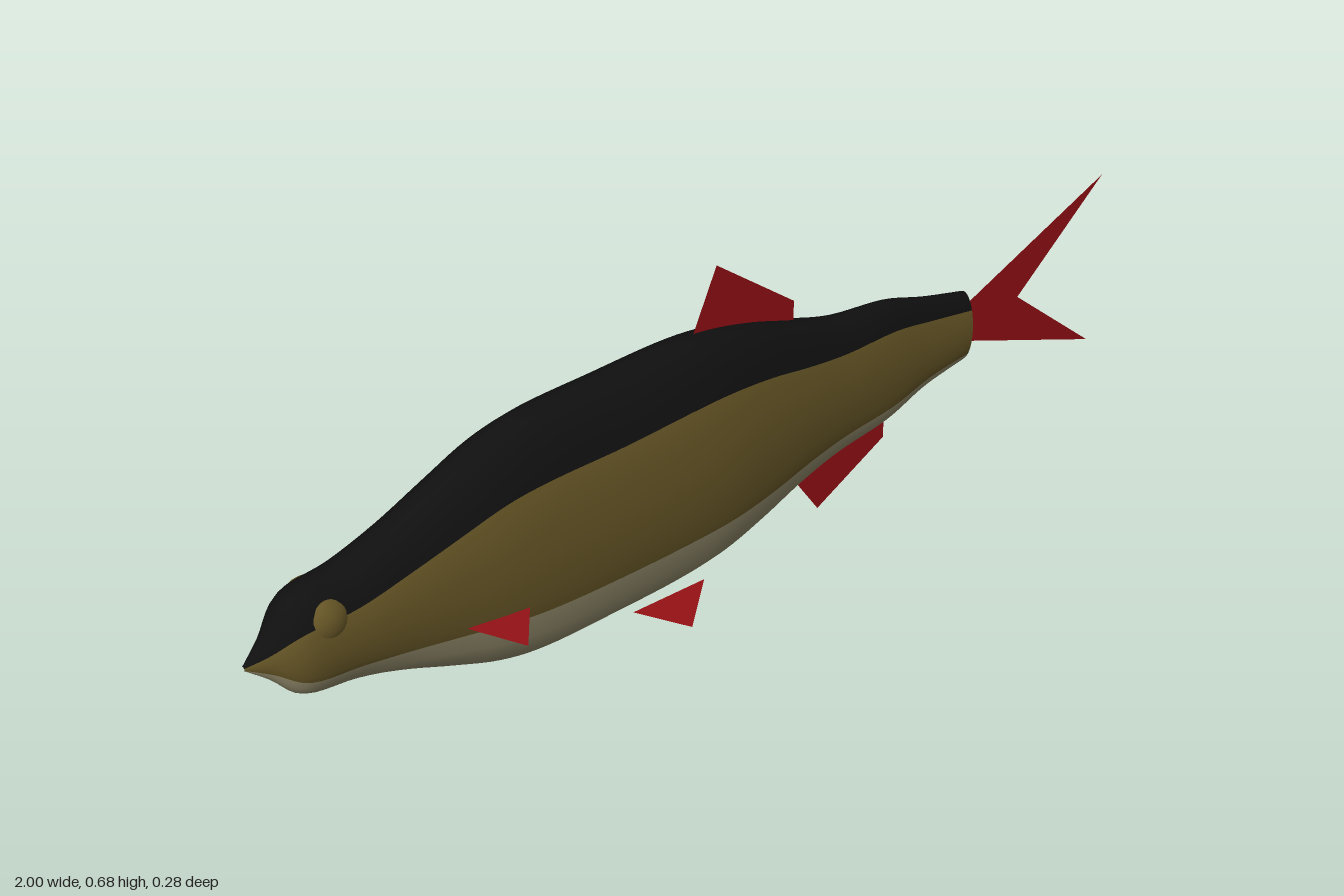
import * as THREE from 'three';

const mat = (name, color, side = THREE.FrontSide) => {
  const m = new THREE.MeshStandardMaterial({ color, side });
  m.name = name;
  return m;
};

// Stations along the body: [x, top, bottom, half width, upper colour line, lower colour line]
const STATIONS = [
  [-0.997, 0.300, 0.292, 0.004, 0.50, 0.40],
  [-0.955, 0.340, 0.252, 0.028, 0.50, 0.45],
  [-0.900, 0.408, 0.192, 0.060, 0.50, 0.50],
  [-0.800, 0.422, 0.172, 0.069, 0.52, 0.50],
  [-0.700, 0.455, 0.135, 0.075, 0.56, 0.48],
  [-0.600, 0.500, 0.088, 0.083, 0.58, 0.45],
  [-0.500, 0.542, 0.045, 0.092, 0.60, 0.44],
  [-0.400, 0.560, 0.024, 0.097, 0.60, 0.44],
  [-0.250, 0.560, 0.020, 0.100, 0.60, 0.45],
  [-0.100, 0.559, 0.020, 0.099, 0.61, 0.46],
  [0.000, 0.547, 0.030, 0.094, 0.62, 0.48],
  [0.100, 0.519, 0.060, 0.083, 0.62, 0.52],
  [0.200, 0.480, 0.098, 0.070, 0.61, 0.55],
  [0.300, 0.445, 0.124, 0.057, 0.62, 0.58],
  [0.430, 0.424, 0.140, 0.044, 0.63, 0.63],
  [0.530, 0.388, 0.176, 0.035, 0.62, 0.67],
  [0.637, 0.355, 0.196, 0.030, 0.60, 0.70],
];

// Elliptical loops, split by angle into side, back, side and belly bands
function bodyGeometry(rings = 80, seg = 8) {
  const shape = new THREE.CatmullRomCurve3(STATIONS.map(s => new THREE.Vector3(s[0], s[1], s[2])), false, 'catmullrom', 0.5);
  const paint = new THREE.CatmullRomCurve3(STATIONS.map(s => new THREE.Vector3(s[3], s[4], s[5])), false, 'catmullrom', 0.5);
  const pos = [], index = [], geo = new THREE.BufferGeometry(), n = seg * 4;
  for (let i = 0; i <= rings; i++) {
    const a = shape.getPoint(i / rings), b = paint.getPoint(i / rings);
    const cy = (a.y + a.z) / 2, h = (a.y - a.z) / 2;
    const up = Math.asin(b.y), lo = -Math.asin(b.z);
    const marks = [lo, up, Math.PI - up, Math.PI - lo, Math.PI * 2 + lo];
    for (let j = 0; j < n; j++) {
      const k = Math.floor(j / seg);
      const t = THREE.MathUtils.lerp(marks[k], marks[k + 1], (j % seg) / seg);
      pos.push(a.x, cy + h * Math.sin(t), b.x * Math.cos(t));
    }
  }
  for (let band = 0; band < 4; band++) {
    const start = index.length;
    for (let i = 0; i < rings; i++) {
      for (let j = band * seg; j < (band + 1) * seg; j++) {
        const a = i * n + j, b = i * n + (j + 1) % n;
        index.push(a, a + n, b + n, a, b + n, b);
      }
    }
    geo.addGroup(start, index.length - start, [0, 1, 0, 2][band]);
  }
  geo.setAttribute('position', new THREE.Float32BufferAttribute(pos, 3));
  geo.setIndex(index);
  geo.computeVertexNormals();
  return geo;
}

export function createModel() {
  const olive = mat('olive side', 0x645425);
  const black = mat('black back', 0x101010);
  const cream = mat('pale belly', 0x968e6e);
  const red = mat('red fin', 0x931115, THREE.DoubleSide);

  const fish = new THREE.Group();
  fish.name = 'fish';
  const add = (name, geo, material) => {
    const m = new THREE.Mesh(geo, material);
    m.name = name;
    fish.add(m);
    return m;
  };

  add('body', bodyGeometry(), [olive, black, cream]);

  // Red oval closing the tail end
  const cap = add('tailRoot', new THREE.CircleGeometry(1, 32), red);
  cap.rotation.y = Math.PI / 2;
  cap.scale.set(0.03, 0.0795, 1);
  cap.position.set(0.637, 0.2755, 0);

  // Flat fins on the centre plane
  const flatFin = (name, pts) =>
    add(name, new THREE.ShapeGeometry(new THREE.Shape(pts.map(p => new THREE.Vector2(...p)))), red);
  flatFin('tailFin', [[0.63, 0.24], [0.998, 0.08], [0.785, 0.278], [0.998, 0.48], [0.63, 0.315]]);
  flatFin('dorsalFin', [[-0.045, 0.53], [0.2, 0.46], [0.2, 0.523], [0.018, 0.678]]);
  flatFin('analFin', [[0.2, 0.115], [0.272, 0], [0.438, 0.095], [0.438, 0.16]]);

  // Paired fins and eyes
  const pairedFin = (name, s, pts) => {
    const geo = new THREE.BufferGeometry();
    geo.setAttribute('position', new THREE.Float32BufferAttribute(pts.flatMap(([x, y, z]) => [x, y, z * s]), 3));
    geo.setIndex(s > 0 ? [0, 2, 1] : [0, 1, 2]);
    geo.computeVertexNormals();
    add(name, geo, red);
  };
  for (const [side, s] of [['left', 1], ['right', -1]]) {
    pairedFin(side + 'PectoralFin', s, [[-0.6, 0.22, 0.078], [-0.47, 0.212, 0.083], [-0.515, 0.174, 0.137]]);
    pairedFin(side + 'PelvicFin', s, [[-0.24, 0.062, 0.078], [-0.08, 0.062, 0.086], [-0.15, 0.018, 0.138]]);
    const eye = add(side + 'Eye', new THREE.SphereGeometry(0.048, 24, 16), olive);
    eye.scale.z = 0.8;
    eye.position.set(-0.85, 0.348, 0.028 * s);
  }
  return fish;
}
